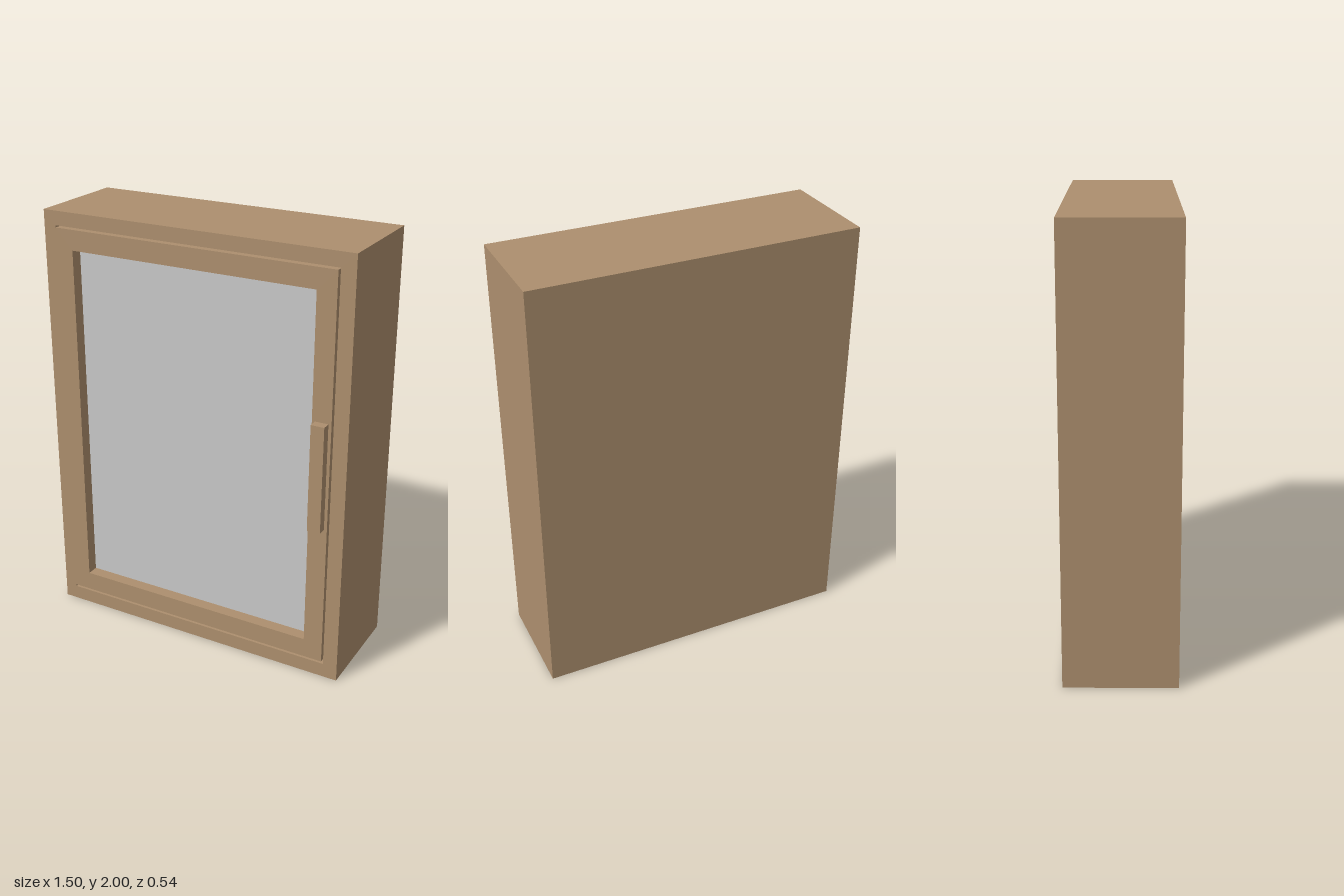
import * as THREE from 'three';

const BACK = -0.27, RECESS = 0.17, FRONT = 0.23;

// closed outline from a short list of [x, y] corners
const outline = (Type, corners) => new Type(corners.map(([x, y]) => new THREE.Vector2(x, y)));
const rect = (x0, y0, x1, y1) => [[x0, y0], [x1, y0], [x1, y1], [x0, y1]];

export function createModel() {
  const group = new THREE.Group();
  group.name = 'wallCabinet';

  const wood = new THREE.MeshStandardMaterial({ color: 0xad8f6e });
  wood.name = 'wood';
  const pane = new THREE.MeshStandardMaterial({ color: 0xc9c9c9 });
  pane.name = 'mirror grey';

  const add = (name, geometry, material) => {
    const mesh = new THREE.Mesh(geometry, material);
    mesh.name = name;
    group.add(mesh);
  };
  const box = (x0, x1, y0, y1, z0, z1) =>
    new THREE.BoxGeometry(x1 - x0, y1 - y0, z1 - z0)
      .translate((x0 + x1) / 2, (y0 + y1) / 2, (z0 + z1) / 2);

  // cabinet carcass behind the door
  add('carcass', box(-0.75, 0.75, 0, 2, BACK, RECESS), wood);

  // front with the pane opening and the C-shaped gap around the door
  const front = outline(THREE.Shape, rect(-0.75, 0, 0.75, 2));
  front.holes.push(
    outline(THREE.Path, rect(-0.605, 0.17, 0.582, 1.83)),
    outline(THREE.Path, [
      [-0.69, 0.068], [0.682, 0.068], [0.682, 1.934], [-0.69, 1.934],
      [-0.69, 1.924], [0.672, 1.924], [0.672, 0.078], [-0.69, 0.078],
    ]),
  );
  const frame = new THREE.ExtrudeGeometry(front, { depth: FRONT - RECESS, bevelEnabled: false });
  add('doorFrame', frame.translate(0, 0, RECESS), wood);

  // recessed pane
  add('pane', box(-0.605, 0.582, 0.17, 1.83, RECESS - 0.002, RECESS + 0.003), pane);

  // pull bar
  add('handle', box(0.596, 0.658, 0.76, 1.26, FRONT, 0.272), wood);

  return group;
}
